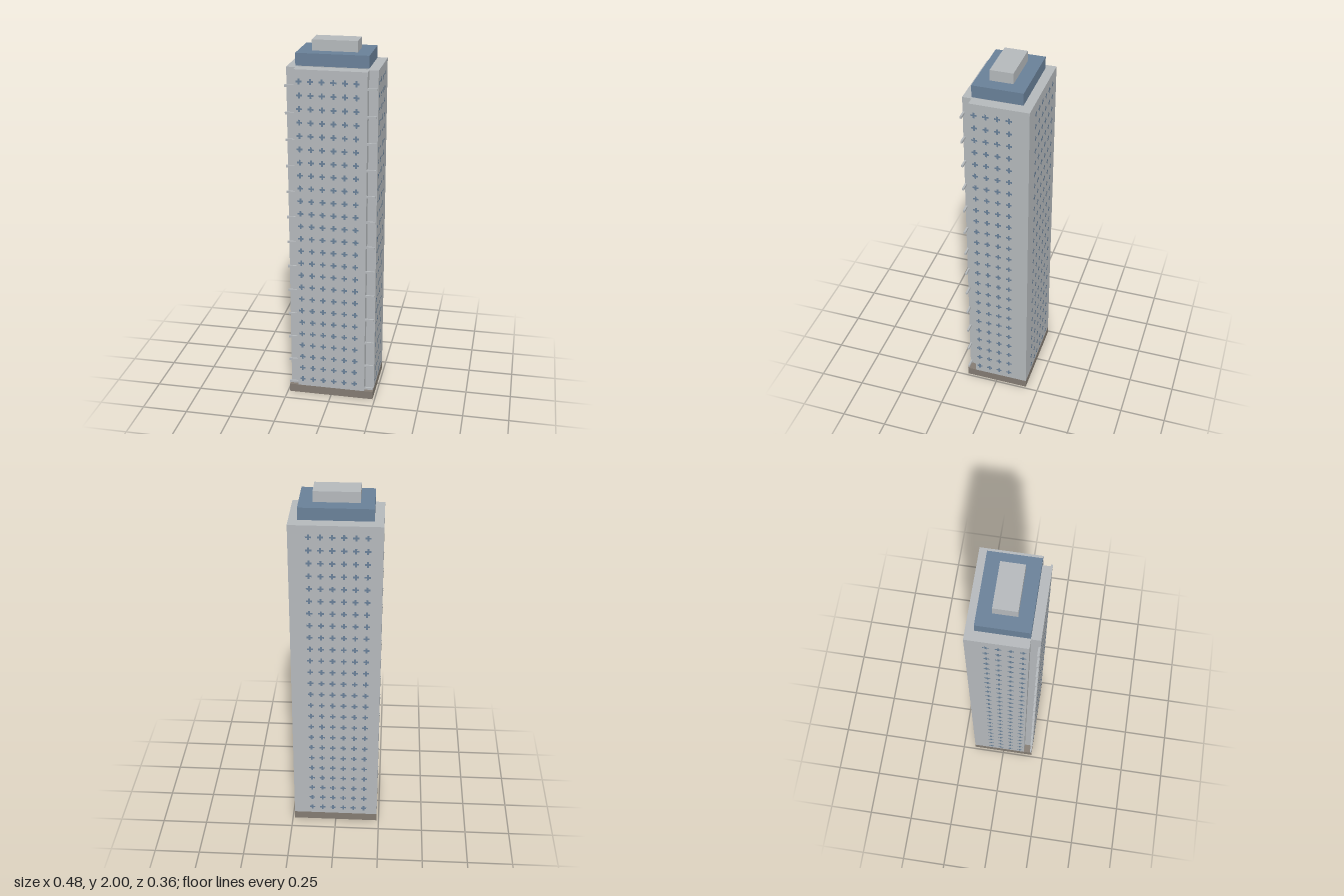
import * as THREE from 'three';
import { mergeGeometries } from 'three/addons/utils/BufferGeometryUtils.js';

const concrete = new THREE.MeshStandardMaterial({ color: 0xb4b8bb });
concrete.name = 'pale concrete';
const glass = new THREE.MeshStandardMaterial({ color: 0x698098 });
glass.name = 'blue glass';
const stone = new THREE.MeshStandardMaterial({ color: 0x837b72 });
stone.name = 'brown stone';

const W = 0.238, D = 0.178;          // half width and half depth
const NX = 0.19, NZ = 0.13;          // inner edges of the front corner notches
const BASE = 0.047, ROOF = 1.87;
const FLOOR = 0.0716, FLOORS = 25, BAY = 0.0593;

export function createModel() {
  const group = new THREE.Group();
  group.name = 'tower';

  const add = (name, geometry, material) => {
    const mesh = new THREE.Mesh(geometry, material);
    mesh.name = name;
    group.add(mesh);
    return mesh;
  };
  const box = (name, material, x0, x1, y0, y1, z0, z1) =>
    add(name, new THREE.BoxGeometry(x1 - x0, y1 - y0, z1 - z0), material)
      .position.set((x0 + x1) / 2, (y0 + y1) / 2, (z0 + z1) / 2);

  // Plinth
  box('base', stone, -W, W, 0, BASE, -D, D);

  // Shaft with both front corners notched
  const plan = new THREE.Shape([
    [-W, -D], [W, -D], [W, NZ], [NX, NZ], [NX, D], [-NX, D], [-NX, NZ], [-W, NZ],
  ].map(([x, z]) => new THREE.Vector2(x, -z)).reverse());
  const shaft = new THREE.ExtrudeGeometry(plan, { depth: ROOF - BASE, bevelEnabled: false });
  shaft.rotateX(-Math.PI / 2).translate(0, BASE, 0);
  add('shaft', shaft, concrete);

  // Stepped roof
  box('roofNeck', concrete, -0.18, 0.18, ROOF, 1.878, -0.11, 0.11);
  box('glassCrown', glass, -NX, NX, 1.878, 1.943, -0.133, NZ);
  box('penthouse', concrete, -0.119, 0.119, 1.943, 2, -0.06, 0.06);

  // Balcony rails across the notches, every second floor
  for (const side of [-1, 1]) {
    for (let i = 0; i < 13; i++) {
      const y = 0.064 + i * FLOOR * 2;
      const a = side * NX, b = side * W;
      box('balconyRail', concrete, Math.min(a, b), Math.max(a, b), y - 0.006, y + 0.006, 0.167, 0.177);
    }
  }

  // Cross-shaped windows on all four faces
  const r = 0.0155, t = 0.005;
  const cross = new THREE.ShapeGeometry(new THREE.Shape([
    [t, -r], [t, -t], [r, -t], [r, t], [t, t], [t, r],
    [-t, r], [-t, t], [-r, t], [-r, -t], [-t, -t], [-t, -r],
  ].map(([x, y]) => new THREE.Vector2(x, y))));
  const windows = (name, columns, turn, place) => {
    const parts = [];
    for (let c = 0; c < columns; c++) {
      for (let f = 0; f < FLOORS; f++) {
        const [x, z] = place(c * BAY);
        parts.push(cross.clone().rotateY(turn).translate(x, 0.09 + f * FLOOR, z));
      }
    }
    add(name, mergeGeometries(parts), glass);
  };
  const gap = 0.002;
  windows('frontWindows', 6, 0, (s) => [-0.162 + s, D + gap]);
  windows('backWindows', 6, Math.PI, (s) => [-0.162 + s, -D - gap]);
  windows('leftWindows', 4, Math.PI / 2, (s) => [W + gap, 0.103 - s]);
  windows('rightWindows', 4, -Math.PI / 2, (s) => [-W - gap, 0.103 - s]);

  return group;
}
